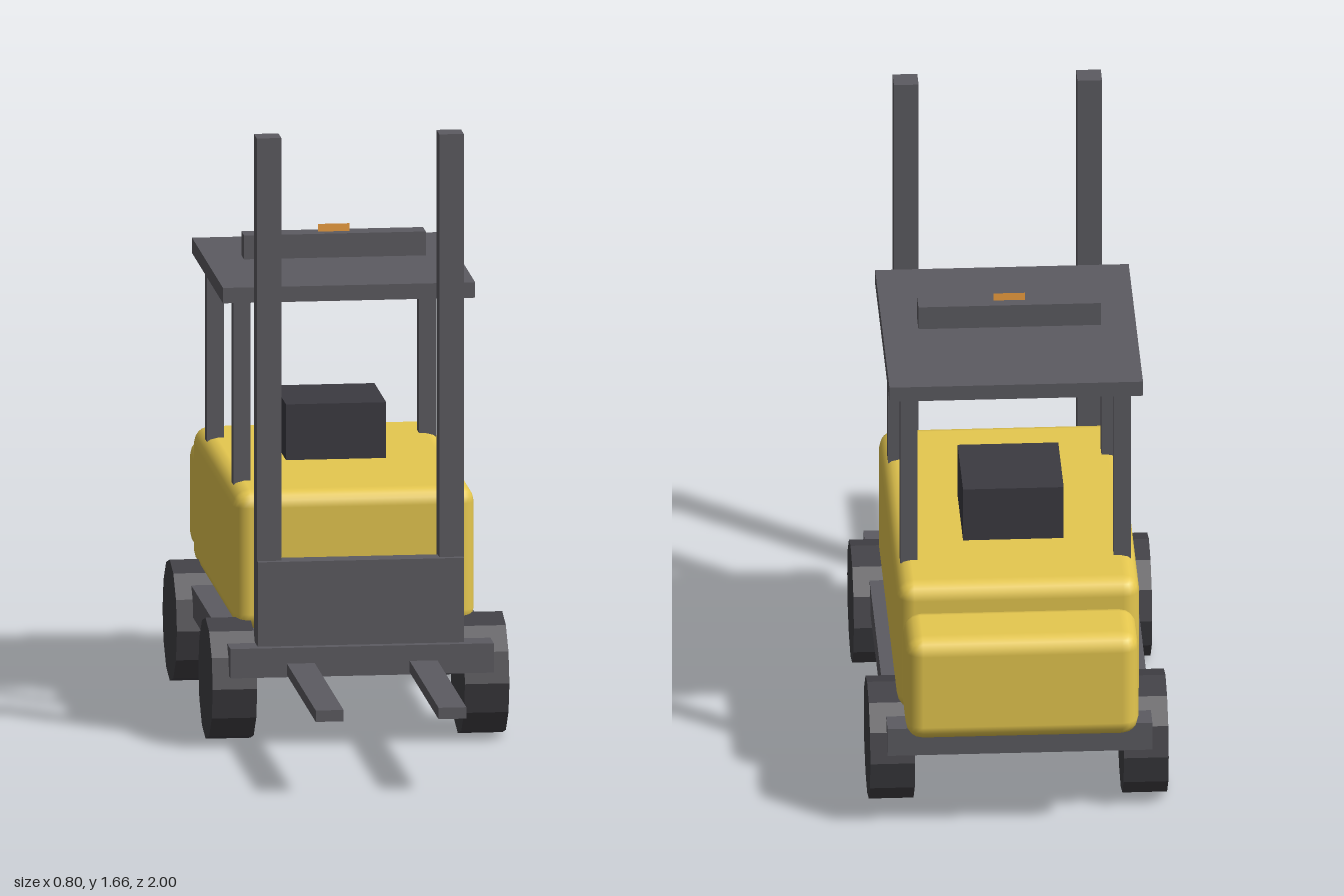
import * as THREE from 'three';
import { RoundedBoxGeometry } from 'three/addons/geometries/RoundedBoxGeometry.js';

const yellow = new THREE.MeshStandardMaterial({ color: 0xe6c84f });
const steel = new THREE.MeshStandardMaterial({ color: 0x5c5b61 });
const seatDark = new THREE.MeshStandardMaterial({ color: 0x3b3a41 });
const rubber = new THREE.MeshStandardMaterial({ color: 0x424146, flatShading: true });
const amber = new THREE.MeshStandardMaterial({ color: 0xf0a040, side: THREE.DoubleSide });

export function createModel() {
  const model = new THREE.Group();
  model.name = 'forklift';

  const add = (name, geometry, material, x, y, z) => {
    const mesh = new THREE.Mesh(geometry, material);
    mesh.name = name;
    mesh.position.set(x, y, z);
    model.add(mesh);
    return mesh;
  };

  // Box given by its [min, max] range on each axis; a radius rounds its edges
  const box = (name, material, [x0, x1], [y0, y1], [z0, z1], radius = 0) => {
    const size = [x1 - x0, y1 - y0, z1 - z0];
    const geometry = radius
      ? new RoundedBoxGeometry(...size, 2, radius)
      : new THREE.BoxGeometry(...size);
    return add(name, geometry, material, (x0 + x1) / 2, (y0 + y1) / 2, (z0 + z1) / 2);
  };

  // Chassis, body and rear counterweight
  box('chassis', steel, [-0.355, 0.355], [0.2, 0.28], [-0.86, 0.338]);
  box('body', yellow, [-0.325, 0.325], [0.295, 0.675], [-0.803, 0.175], 0.045);
  box('counterweight', yellow, [-0.312, 0.312], [0.305, 0.605], [-1, -0.79], 0.045);

  // Cab
  box('seat', seatDark, [-0.135, 0.135], [0.66, 0.827], [-0.53, -0.26]);
  box('roof', steel, [-0.34, 0.34], [1.165, 1.207], [-0.672, 0.038]);
  box('lightBar', steel, [-0.245, 0.245], [1.22, 1.285], [-0.35, -0.287]);
  add('beacon', new THREE.PlaneGeometry(0.085, 0.04), amber, 0, 1.286, -0.319);

  // Load carriage
  box('carriagePlate', steel, [-0.278, 0.278], [0.27, 0.51], [0.255, 0.313]);

  // Mirrored parts
  const wheel = new THREE.CylinderGeometry(0.165, 0.165, 0.12, 12).rotateZ(Math.PI / 2);
  for (const s of [-1, 1]) {
    const side = s > 0 ? 'left' : 'right';
    const span = (a, b) => (s > 0 ? [a, b] : [-b, -a]);
    box(`${side}Mast`, steel, span(0.213, 0.279), [0.27, 1.663], [0.23, 0.295]);
    box(`${side}Fork`, steel, span(0.128, 0.203), [0.206, 0.237], [0.3, 1]);
    for (const [end, z] of [['Front', -0.011], ['Rear', -0.617]]) {
      box(`${side}${end}Post`, steel, span(0.263, 0.309), [0.66, 1.17], [z - 0.023, z + 0.023]);
    }
    for (const [end, z] of [['Front', 0.148], ['Rear', -0.673]]) {
      add(`${side}${end}Wheel`, wheel, rubber, s * 0.34, 0.165, z);
    }
  }

  return model;
}
